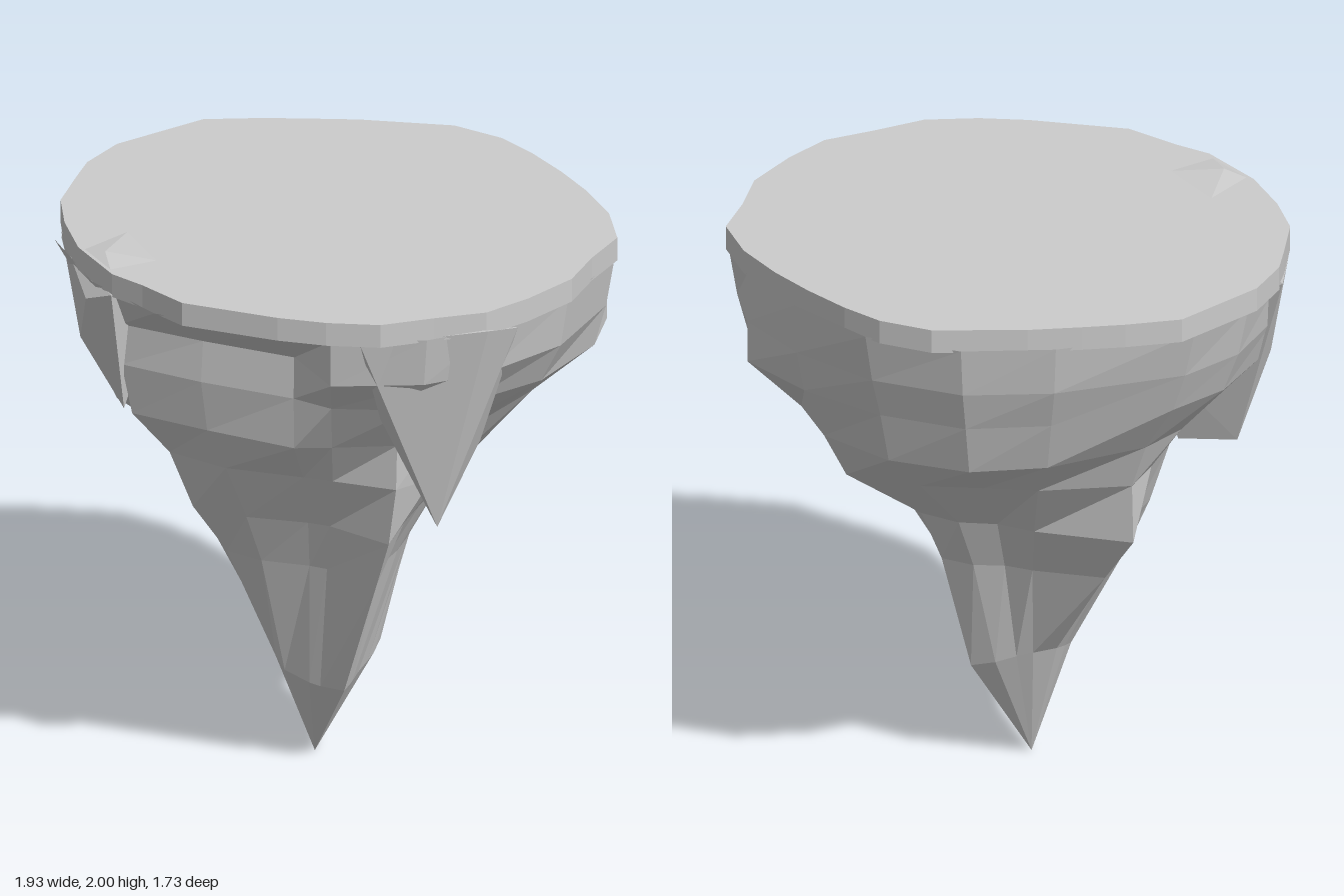
import * as THREE from 'three';
import { ConvexGeometry } from 'three/addons/geometries/ConvexGeometry.js';

const rock = new THREE.MeshStandardMaterial({ color: 0xcccccc, flatShading: true });

// Flat top outline as [x, z]
const outline = [
  [0.1, -0.87], [0.29, -0.83], [0.43, -0.75], [0.58, -0.64], [0.72, -0.52], [0.86, -0.37],
  [0.96, -0.19], [0.94, 0], [0.94, 0.19], [0.86, 0.4], [0.77, 0.56], [0.62, 0.67], [0.47, 0.79],
  [0.29, 0.84], [0.12, 0.86], [-0.23, 0.86], [-0.41, 0.77], [-0.54, 0.72], [-0.73, 0.55],
  [-0.85, 0.37], [-0.93, 0.2], [-0.95, 0], [-0.96, -0.13], [-0.92, -0.31], [-0.82, -0.46],
  [-0.72, -0.61], [-0.54, -0.69], [-0.4, -0.74], [-0.22, -0.8],
];

// Crag columns, in degrees from the front turning towards +x
const angles = [8, 20, 41, 56, 78, 101, 115, 134, 157, 180, 202, 234, 250, 270, 292, 315, 337];

// Crag rings: height and radius in each column; fins jut out at 41, 234 and 270 degrees
const rings = [
  [1.91, [.86, .88, .92, .94, .95, .97, .93, .88, .88, .86, .84, .93, .95, .95, .96, .91, .89]],
  [1.73, [.62, .85, .89, .9, .92, .94, .93, .87, .84, .83, .81, .88, .91, .92, .86, .8, .65]],
  [1.58, [.63, .7, .76, .79, .84, .9, .93, .84, .79, .78, .75, .82, .85, .87, .8, .8, .66]],
  [1.39, [.62, .6, .62, .6, .62, .68, .74, .76, .74, .72, .68, .68, .68, .64, .66, .76, .63]],
  [1.22, [.48, .5, .61, .58, .51, .53, .58, .67, .55, .48, .5, .61, .56, .55, .58, .62, .54]],
  [1.0, [.36, .38, .57, .43, .36, .36, .38, .38, .34, .3, .36, .6, .47, .47, .48, .52, .42]],
  [0.81, [.29, .31, .48, .32, .28, .27, .28, .31, .27, .23, .27, .44, .37, .38, .39, .38, .33]],
  [0.38, [.18, .19, .23, .18, .15, .16, .18, .22, .18, .15, .15, .16, .16, .16, .16, .17, .18]],
];

function cragGeometry() {
  const n = angles.length, pos = [], index = [];
  rings.forEach(([y, radii]) => {
    const lean = Math.max(0, 1 - y / 1.2);
    radii.forEach((r, i) => {
      const a = THREE.MathUtils.degToRad(angles[i]);
      // The lowest ring is tilted
      const dy = y < 0.5 ? -0.065 * Math.cos(a - Math.PI / 4) : 0;
      pos.push(-0.06 * lean + r * Math.sin(a), y + dy, 0.04 * lean + r * Math.cos(a));
    });
  });
  // Pointed tip
  const tip = pos.length / 3;
  pos.push(-0.06, 0, 0.04);
  rings.forEach((_, j) => {
    for (let i = 0; i < n; i++) {
      const k = (i + 1) % n, a = j * n + i, b = j * n + k;
      if (j === rings.length - 1) index.push(a, tip, b);
      else index.push(a, a + n, b, b, a + n, b + n);
    }
  });
  const g = new THREE.BufferGeometry();
  g.setAttribute('position', new THREE.Float32BufferAttribute(pos, 3));
  g.setIndex(index);
  g.computeVertexNormals();
  return g;
}

export function createModel() {
  const group = new THREE.Group();
  const add = (name, geometry) => {
    const mesh = new THREE.Mesh(geometry, rock);
    mesh.name = name;
    group.add(mesh);
  };
  const addChunk = (name, points) =>
    add(name, new ConvexGeometry(points.map((p) => new THREE.Vector3(...p))));

  // Level ground slab
  const shape = new THREE.Shape(outline.map(([x, z]) => new THREE.Vector2(x, -z)));
  const slab = new THREE.ExtrudeGeometry(shape, { depth: 0.085, bevelEnabled: false });
  slab.rotateX(-Math.PI / 2).translate(0, 1.9, 0);
  add('groundSlab', slab);

  // Slight rise at the rim
  addChunk('groundRise', [
    [-0.73, 1.98, 0.55], [-0.54, 1.98, 0.72], [-0.38, 1.98, 0.55], [-0.62, 1.98, 0.3], [-0.62, 2, 0.58],
  ]);

  // Tapering underside
  add('crag', cragGeometry());

  // Hanging spur at the front
  addChunk('frontSpur', [
    [0.4, 1.9, 0.8], [0.42, 1.57, 0.66], [0.57, 1.13, 0.51], [0.78, 1.92, 0.57],
    [0.83, 1.88, 0.42], [0.67, 1.41, 0.36], [0.5, 1.9, 0.4],
  ]);

  // Side block hanging at -x
  addChunk('sideBlock', [
    [-0.77, 1.22, 0.08], [-0.57, 1.22, 0.05], [-0.55, 1.23, 0.25], [-0.78, 1.58, 0.36],
    [-0.9, 1.6, 0.02], [-0.97, 1.92, -0.12], [-0.92, 1.86, 0.22], [-0.6, 1.85, 0.4], [-0.5, 1.6, -0.1],
  ]);

  // Front corner block beside the recess
  addChunk('cornerBlock', [
    [-0.92, 1.88, 0.22], [-0.54, 1.91, 0.73], [-0.66, 1.85, 0.66], [-0.57, 1.72, 0.57],
    [-0.78, 1.58, 0.4], [-0.57, 1.4, 0.53], [-0.5, 1.8, 0.3],
  ]);

  return group;
}
